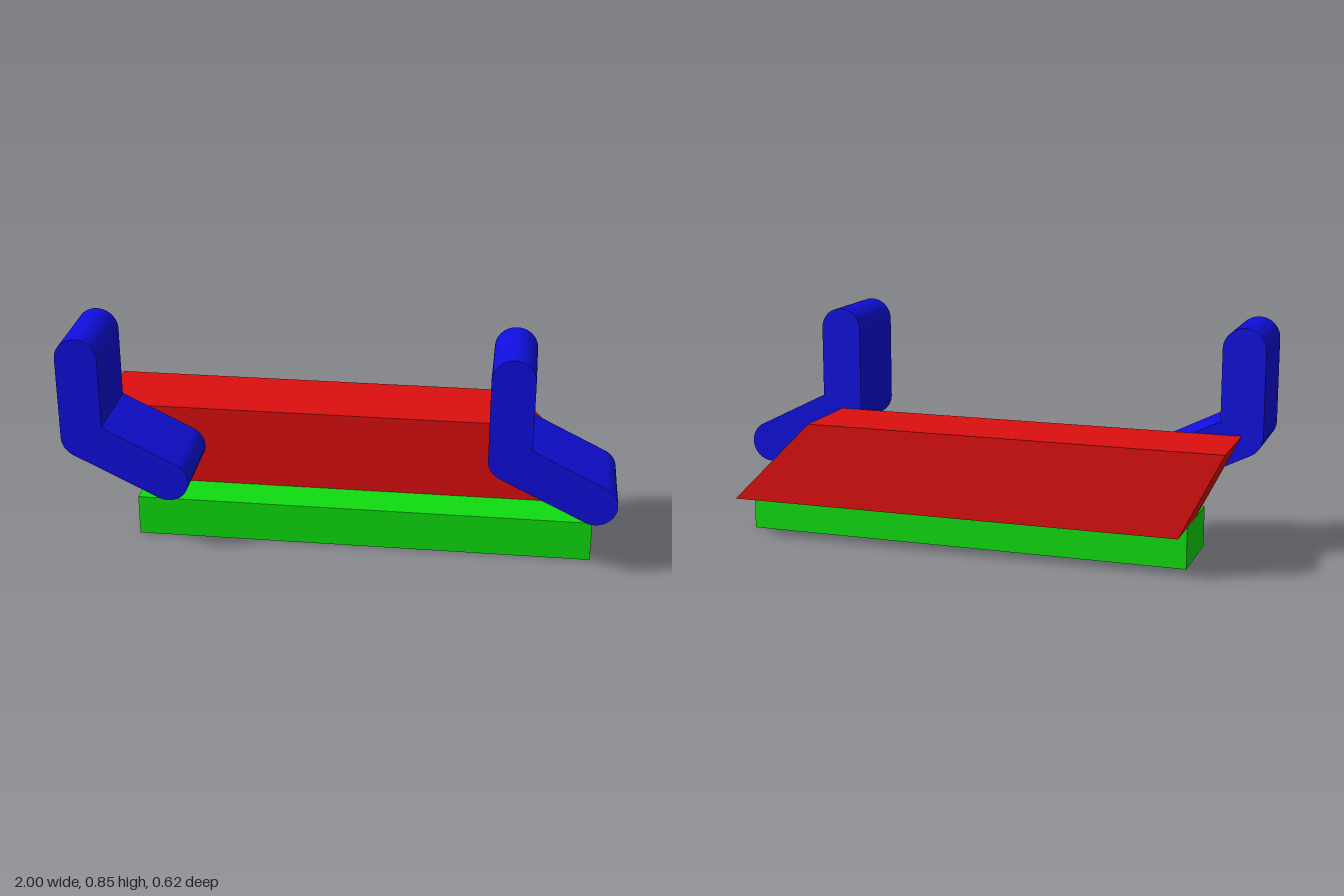
import * as THREE from 'three';
import { toCreasedNormals } from 'three/addons/utils/BufferGeometryUtils.js';

const U = 2 / 13; // base module: all sizes are multiples of it

export function createModel() {
  const model = new THREE.Group();
  model.name = 'model';

  const material = (name, color) => {
    const m = new THREE.MeshStandardMaterial({ color });
    m.name = name;
    return m;
  };
  const green = material('green', 0x0fdd0f);
  const red = material('red', 0xdd0f0f);
  const blue = material('blue', 0x0f0fdd);

  const add = (name, geometry, mat, x, y, z) => {
    const mesh = new THREE.Mesh(geometry, mat);
    mesh.name = name;
    mesh.position.set(x, y, z);
    model.add(mesh);
  };

  // Base block
  add('base', new THREE.BoxGeometry(11 * U, U, 2 * U), green, U / 2, U / 2, 0);

  // Slant-ended slab behind the centre plane
  const slab = new THREE.Shape([
    new THREE.Vector2(-5 * U, U),
    new THREE.Vector2(6 * U, U),
    new THREE.Vector2(4 * U, 3 * U),
    new THREE.Vector2(-6 * U, 3 * U),
  ]);
  add('slab', new THREE.ExtrudeGeometry(slab, { depth: 2 * U, bevelEnabled: false }), red, 0, 0, -2 * U);

  // Round-ended bent arm, drawn about its elbow
  const r = U / 2;
  const tilt = Math.atan(2); // direction of the sloping leg's normal
  const arm = new THREE.Shape();
  arm.moveTo(r, r * Math.tan(tilt / 2));
  arm.lineTo(r, 2 * U);
  arm.absarc(0, 2 * U, r, 0, Math.PI, false);
  arm.absarc(0, 0, r, Math.PI, Math.PI + tilt, false);
  arm.absarc(2 * U, -U, r, Math.PI + tilt, 2 * Math.PI + tilt, false);
  arm.closePath();
  const armGeometry = toCreasedNormals(
    new THREE.ExtrudeGeometry(arm, { depth: 2 * U, bevelEnabled: false, curveSegments: 20 }),
    Math.PI / 6
  );
  add('rightArm', armGeometry, blue, -6 * U, 3 * U, 0);
  add('leftArm', armGeometry, blue, 4 * U, 3 * U, 0);

  return model;
}
